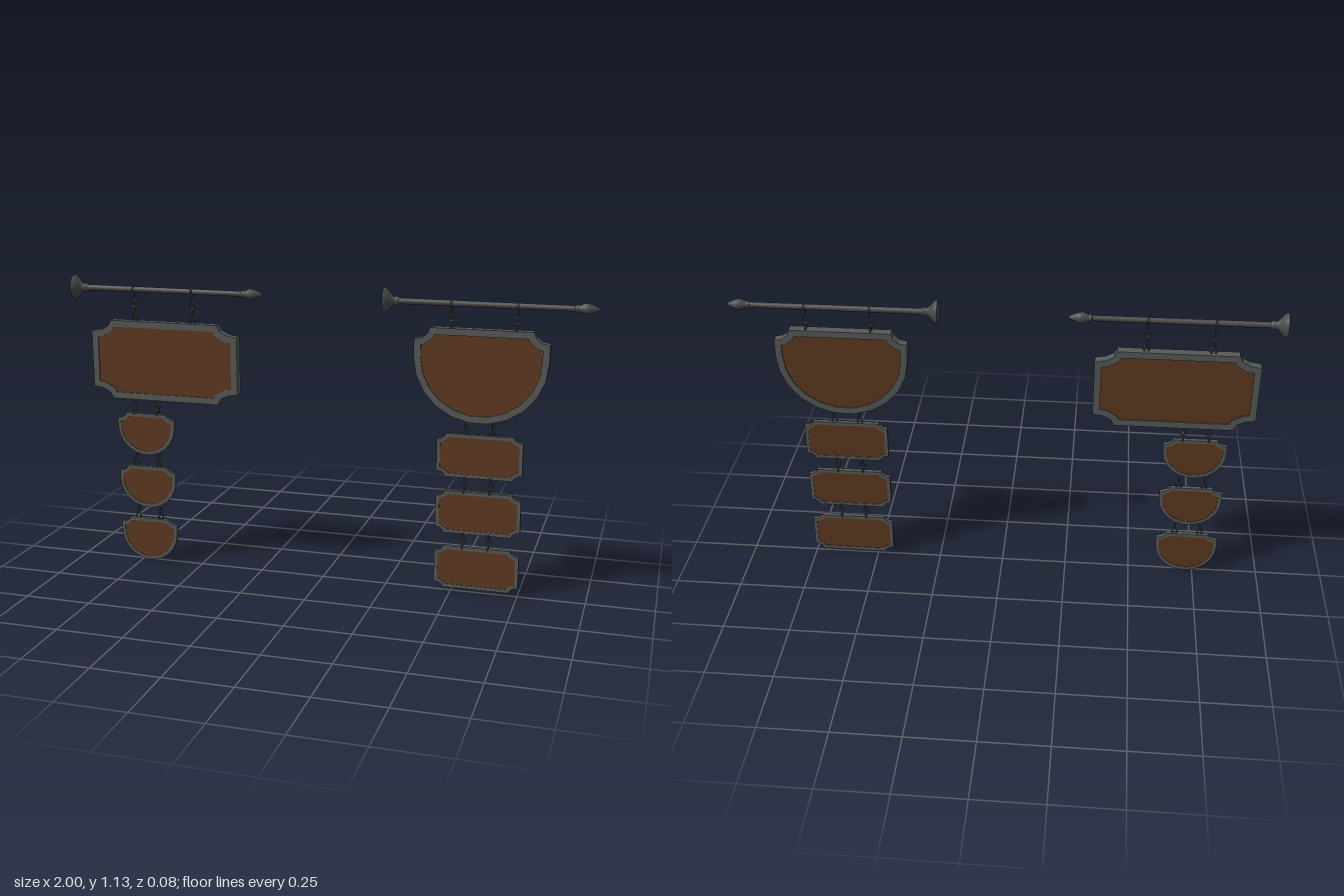
import * as THREE from 'three';

const frameGrey = new THREE.MeshStandardMaterial({ color: 0x565a57 });
frameGrey.name = 'frame grey';
const woodBrown = new THREE.MeshStandardMaterial({ color: 0x5e3920 });
woodBrown.name = 'wood brown';
const darkIron = new THREE.MeshStandardMaterial({ color: 0x484a49 });
darkIron.name = 'dark iron';

function addMesh(parent, name, geometry, material) {
  const mesh = new THREE.Mesh(geometry, material);
  mesh.name = name;
  parent.add(mesh);
  return mesh;
}

// Concave scoop at one corner, listed counter-clockwise around the board
function scoop(sx, sy, w, h, a, b) {
  const pts = [];
  for (let k = 0; k <= 3; k++) {
    const t = (k / 3) * Math.PI / 2;
    pts.push(new THREE.Vector2(sx * (w / 2 - a * Math.sin(t)), sy * (h / 2 - b * Math.cos(t))));
  }
  return sx * sy > 0 ? pts : pts.reverse();
}

// Rectangle with four scooped corners
function plaqueOutline(w, h, a, b) {
  return [[1, 1], [-1, 1], [-1, -1], [1, -1]].flatMap(([sx, sy]) => scoop(sx, sy, w, h, a, b));
}

// Scooped top corners above a half-ellipse bottom
function shieldOutline(w, h, a, b) {
  const pts = [...scoop(1, 1, w, h, a, b), ...scoop(-1, 1, w, h, a, b)];
  const ry = h * 0.7 - b * 0.1, n = 11;
  for (let i = 0; i <= n; i++) {
    const t = Math.PI * (1 + i / n);
    pts.push(new THREE.Vector2(Math.cos(t) * w / 2, -h / 2 + ry + Math.sin(t) * ry));
  }
  return pts;
}

// Move a counter-clockwise outline inward by d with mitred corners
function inset(pts, d) {
  const n = pts.length;
  const normal = (p, q) => new THREE.Vector2(p.y - q.y, q.x - p.x).normalize();
  return pts.map((p, i) => {
    const n1 = normal(pts[(i + n - 1) % n], p);
    const n2 = normal(p, pts[(i + 1) % n]);
    const s = d / Math.max(0.4, 1 + n1.dot(n2));
    return n1.add(n2).multiplyScalar(s).add(p);
  });
}

function slab(shape, depth) {
  const geo = new THREE.ExtrudeGeometry(shape, { depth, bevelEnabled: false });
  return geo.translate(0, 0, -depth / 2);
}

// Framed board with a slightly recessed wooden panel on both faces
function board(parent, name, outline, x, y, depth, border, recess) {
  const group = new THREE.Group();
  group.name = name;
  group.position.set(x, y, 0);
  const inner = inset(outline, border);
  const ring = new THREE.Shape(outline);
  ring.holes.push(new THREE.Path(inner));
  addMesh(group, name + 'Frame', slab(ring, depth), frameGrey);
  addMesh(group, name + 'Panel', slab(new THREE.Shape(inner), depth - 2 * recess), woodBrown);
  parent.add(group);
}

// Alternating oval links between two heights
function chain(parent, x, top, bottom) {
  const group = new THREE.Group();
  group.name = 'chain';
  const n = Math.max(2, Math.round((top - bottom) / 0.027));
  const pitch = (top - bottom) / n;
  for (let i = 0; i < n; i++) {
    const link = addMesh(group, 'chainLink', new THREE.TorusGeometry(0.009, 0.0032, 6, 12), darkIron);
    link.scale.y = (pitch * 0.5 + 0.005) / 0.0122;
    link.rotation.y = i % 2 ? 0 : Math.PI / 2;
    link.position.set(x, top - pitch * (i + 0.5), 0);
  }
  parent.add(group);
}

function lathePart(parent, name, profile, x, y) {
  const geo = new THREE.LatheGeometry(profile.map(([r, h]) => new THREE.Vector2(r, h)), 16);
  geo.rotateZ(-Math.PI / 2);
  const mesh = addMesh(parent, name, geo, darkIron);
  mesh.position.set(x, y, 0);
  return mesh;
}

// Wall bracket: flange, round rod and pointed finial
function bracket(parent, x, y) {
  const group = new THREE.Group();
  group.name = 'bracket';
  const flange = lathePart(group, 'wallFlange',
    [[0.047, 0], [0.046, 0.006], [0.04, 0.015], [0.025, 0.027], [0.014, 0.038],
      [0.017, 0.046], [0.016, 0.054], [0.009, 0.062]], x, y);
  flange.scale.z = 0.83;
  const back = addMesh(group, 'flangeBack', new THREE.CircleGeometry(0.047, 16), darkIron);
  back.rotation.y = -Math.PI / 2;
  back.scale.x = 0.83;
  back.position.set(x, y, 0);
  lathePart(group, 'rod', [[0.0115, 0.05], [0.0105, 0.685]], x, y);
  lathePart(group, 'finial',
    [[0.009, 0.68], [0.014, 0.685], [0.014, 0.691], [0.012, 0.696], [0.021, 0.715],
      [0.02, 0.728], [0.011, 0.752], [0, 0.77]], x, y);
  parent.add(group);
}

// One hanging sign: bracket, main board and three small boards on chains
function hangingSign(name, s) {
  const sign = new THREE.Group();
  sign.name = name;
  const rodY = 1.088;
  bracket(sign, s.rodX, rodY);

  const { main, small } = s;
  board(sign, 'mainBoard', main.outline(main.w, main.top - main.bottom, main.a, main.b),
    main.x, (main.top + main.bottom) / 2, 0.036, 0.025, 0.005);

  for (const x of s.topChains) {
    const loop = addMesh(sign, 'rodLoop', new THREE.TorusGeometry(0.0135, 0.0035, 6, 14), darkIron);
    loop.rotation.y = Math.PI / 2;
    loop.position.set(x, rodY, 0);
    chain(sign, x, rodY - 0.01, main.top - 0.006);
  }

  let above = main.bottom;
  for (const [top, bottom] of small.spans) {
    board(sign, 'smallBoard', small.outline(small.w, top - bottom, small.a, small.b),
      small.x, (top + bottom) / 2, 0.016, 0.013, 0.002);
    for (const x of s.lowChains) chain(sign, x, above + 0.008, top - 0.008);
    above = bottom;
  }
  return sign;
}

export function createModel() {
  const model = new THREE.Group();
  model.name = 'hangingSigns';
  model.add(hangingSign('plaqueSign', {
    rodX: -1,
    topChains: [-0.753, -0.515],
    lowChains: [-0.767, -0.671],
    main: { outline: plaqueOutline, x: -0.63, w: 0.594, top: 0.967, bottom: 0.66, a: 0.08, b: 0.044 },
    small: {
      outline: shieldOutline, x: -0.719, w: 0.236, a: 0.036, b: 0.022,
      spans: [[0.602, 0.436], [0.388, 0.219], [0.173, 0]],
    },
  }));
  model.add(hangingSign('shieldSign', {
    rodX: 0.23,
    topChains: [0.477, 0.714],
    lowChains: [0.54, 0.636],
    main: { outline: shieldOutline, x: 0.589, w: 0.487, top: 1.0, bottom: 0.656, a: 0.057, b: 0.044 },
    small: {
      outline: plaqueOutline, x: 0.594, w: 0.316, a: 0.033, b: 0.022,
      spans: [[0.611, 0.447], [0.393, 0.23], [0.178, 0.014]],
    },
  }));
  return model;
}
